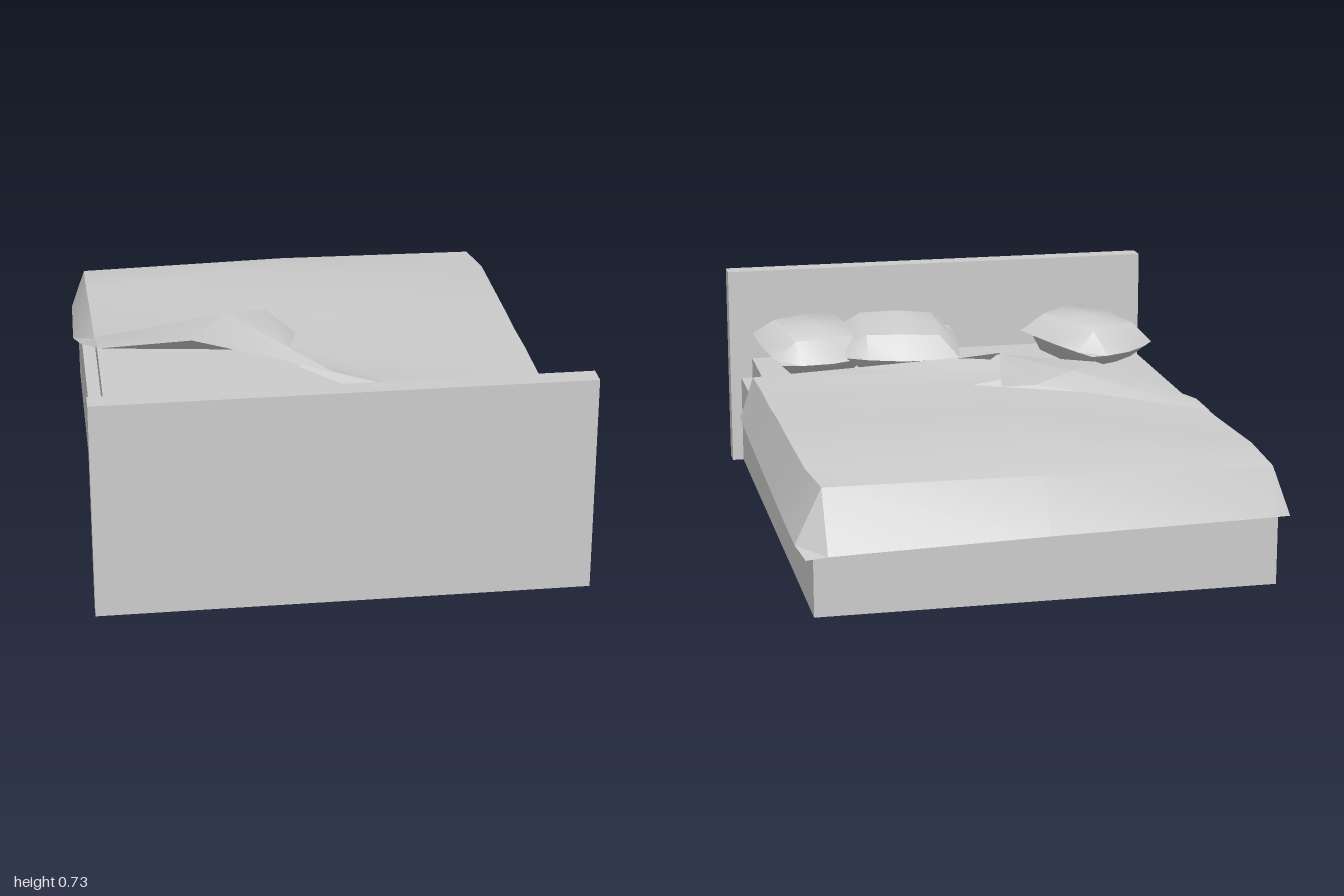
import * as THREE from 'three';
import { toCreasedNormals } from 'three/addons/utils/BufferGeometryUtils.js';

const grey = new THREE.MeshStandardMaterial({ color: 0xcccccc });
const greySheet = new THREE.MeshStandardMaterial({ color: 0xcccccc, side: THREE.DoubleSide });

function named(name, geometry, material = grey) {
  const mesh = new THREE.Mesh(geometry, material);
  mesh.name = name;
  return mesh;
}

// Box given by its lower and upper corners
function box(x0, y0, z0, x1, y1, z1) {
  return new THREE.BoxGeometry(x1 - x0, y1 - y0, z1 - z0)
    .translate((x0 + x1) / 2, (y0 + y1) / 2, (z0 + z1) / 2);
}

// Skin over rows of points (columns run to +x, rows to +z); repeated points collapse a quad
function sheet(rows, crease = 0.5) {
  const pos = [];
  const tri = (...pts) => {
    const [a, b, c] = pts.map(p => new THREE.Vector3(...p));
    if (b.sub(a).cross(c.sub(a)).length() > 1e-7) pts.forEach(p => pos.push(...p));
  };
  for (let i = 0; i < rows.length - 1; i++) {
    for (let j = 0; j < rows[i].length - 1; j++) {
      const a = rows[i][j], b = rows[i][j + 1], c = rows[i + 1][j], d = rows[i + 1][j + 1];
      tri(a, c, d);
      tri(a, d, b);
    }
  }
  const g = new THREE.BufferGeometry();
  g.setAttribute('position', new THREE.Float32BufferAttribute(pos, 3));
  return toCreasedNormals(g, crease);
}

// Cushion with bulging sides, pinched to a seam all round
function pillow(name, w, d, h) {
  const group = new THREE.Group();
  group.name = name;
  const steps = [-1, -0.62, 0, 0.62, 1];
  for (const side of [1, -1]) {
    const rows = steps.map(v => steps.map(u => [
      side * u * w / 2 * (1 + 0.06 * (1 - v * v)),
      side * h * Math.sqrt((1 - u ** 4) * (1 - v ** 4)),
      v * d / 2 * (1 + 0.2 * (1 - u * u)),
    ]));
    group.add(named(side > 0 ? 'pillowTop' : 'pillowUnderside', sheet(rows, 0.8), greySheet));
  }
  return group;
}

export function createModel() {
  const bed = new THREE.Group();
  bed.name = 'bed';

  bed.add(named('headboard', box(-0.81, 0, 0.93, 0.78, 0.73, 1)));

  // Bed frame: hollow box, open underneath (bottom face dropped)
  const frame = box(-0.78, 0, -0.88, 0.74, 0.32, 0.93);
  const idx = Array.from(frame.index.array);
  idx.splice(18, 6);
  frame.setIndex(idx);
  frame.clearGroups();
  bed.add(named('frame', frame, greySheet));
  const slats = new THREE.PlaneGeometry(1.52, 1.81).rotateX(Math.PI / 2).translate(-0.02, 0.25, 0.025);
  bed.add(named('mattressSupport', slats));

  bed.add(named('mattress', box(-0.735, 0.32, -0.86, 0.7, 0.4, 0.91)));

  // Points along the diagonal fold of the blanket
  const F = [-0.73, 0.43, -0.12], M = [-0.42, 0.53, 0.08], E = [-0.1, 0.525, 0.29], H = [0.2, 0.45, 0.485];

  // Blanket: hem, edge, middle, edge, hem; the last rows start at the fold
  bed.add(named('blanket', sheet([
    [[-0.8, 0.25, -0.94], [-0.74, 0.25, -0.945], [0, 0.245, -0.97], [0.71, 0.235, -0.995], [0.78, 0.23, -1]],
    [[-0.8, 0.26, -0.92], [-0.75, 0.41, -0.9], [0, 0.425, -0.9], [0.71, 0.425, -0.88], [0.8, 0.25, -0.9]],
    [[-0.81, 0.31, -0.5], [-0.75, 0.425, -0.68], [0, 0.48, -0.68], [0.735, 0.435, -0.7], [0.8, 0.25, -0.7]],
    [[-0.79, 0.37, -0.31], [-0.74, 0.415, -0.24], [0, 0.47, -0.24], [0.74, 0.435, -0.24], [0.8, 0.262, -0.24]],
    [F, F, [0, 0.47, -0.1], [0.74, 0.435, -0.1], [0.8, 0.266, -0.1]],
    [M, M, [0.03, 0.47, 0.08], [0.745, 0.435, 0.08], [0.8, 0.272, 0.08]],
    [E, E, [0.15, 0.465, 0.29], [0.745, 0.435, 0.29], [0.8, 0.279, 0.29]],
    [H, H, [0.4, 0.45, 0.485], [0.75, 0.435, 0.485], [0.8, 0.285, 0.485]],
  ]), greySheet));

  // Corner of the blanket turned back over the fold
  const A = [-0.74, 0.42, -0.24], G = [-0.29, 0.55, -0.1], D = [-0.1, 0.545, 0.22];
  const B = [-0.14, 0.525, -0.17], C = [-0.05, 0.49, -0.04];
  bed.add(named('blanketFlap', sheet([[A, B, C, D], [A, G, D, D], [F, M, E, H]]), greySheet));
  bed.add(named('flapTail', sheet([[D, [-0.07, 0.5, 0.28]], [E, H]]), greySheet));

  // Pillows: size, then place, tilt and turn
  for (const [name, w, d, h, x, y, z, tilt, turn, roll] of [
    ['pillowRight', 0.34, 0.36, 0.085, -0.54, 0.475, 0.69, -0.12, 0.6, 0],
    ['pillowMiddle', 0.42, 0.29, 0.085, 0.18, 0.49, 0.69, -0.2, -0.05, 0.04],
    ['pillowLeft', 0.37, 0.3, 0.08, 0.49, 0.485, 0.735, -0.2, 0.24, 0],
  ]) {
    const p = pillow(name, w, d, h);
    p.position.set(x, y, z);
    p.rotation.set(tilt, turn, roll, 'YXZ');
    bed.add(p);
  }
  return bed;
}
